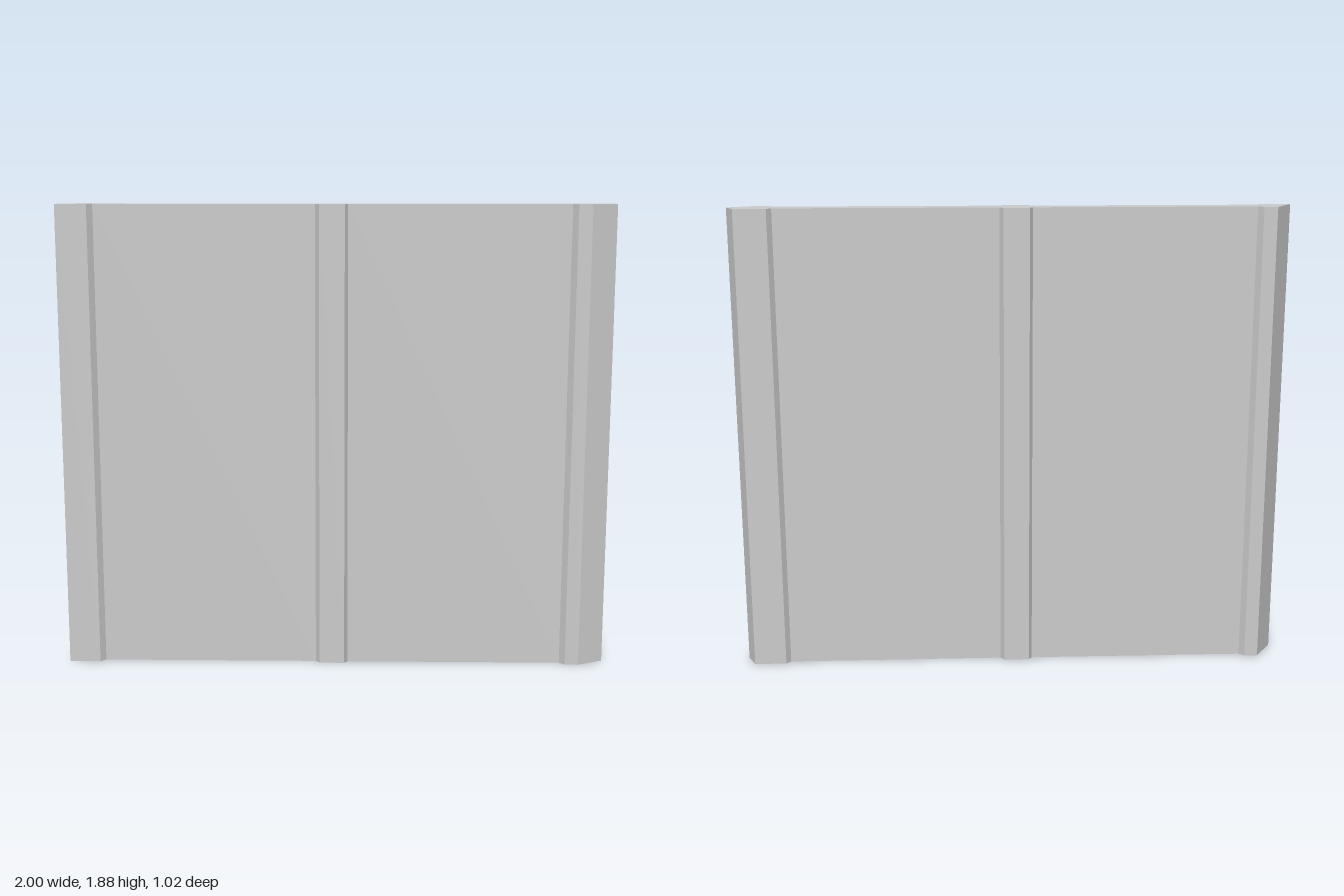
import * as THREE from 'three';

const HEIGHT = 1.88;

// Plan outline of the wall as [x, z], grouped by the post each run belongs to
const outline = [
  // pointed end post, back side
  [-1, -0.44], [-0.885, -0.508], [-0.837, -0.483], [-0.828, -0.456],
  // middle post, back side
  [-0.042, -0.063], [-0.022, -0.075], [0.069, -0.028], [0.074, -0.003],
  // square-cut end post, back then front side
  [0.86, 0.386], [0.885, 0.376], [1, 0.435], [1, 0.508],
  [0.883, 0.508], [0.835, 0.482], [0.826, 0.453],
  // middle post, front side
  [0.04, 0.061], [0.02, 0.072], [-0.071, 0.026], [-0.076, 0],
  // pointed end post, front side
  [-0.86, -0.391], [-0.888, -0.381],
];

export function createModel() {
  const group = new THREE.Group();
  group.name = 'diagonalWall';

  // Extrude the plan upwards; shape y becomes -z after the rotation
  const shape = new THREE.Shape(outline.map(([x, z]) => new THREE.Vector2(x, -z)));
  const geometry = new THREE.ExtrudeGeometry(shape, { depth: HEIGHT, bevelEnabled: false });
  geometry.rotateX(-Math.PI / 2);

  const material = new THREE.MeshStandardMaterial({ color: 0xcccccc, flatShading: true });
  const wall = new THREE.Mesh(geometry, material);
  wall.name = 'wallWithPosts';
  group.add(wall);
  return group;
}
